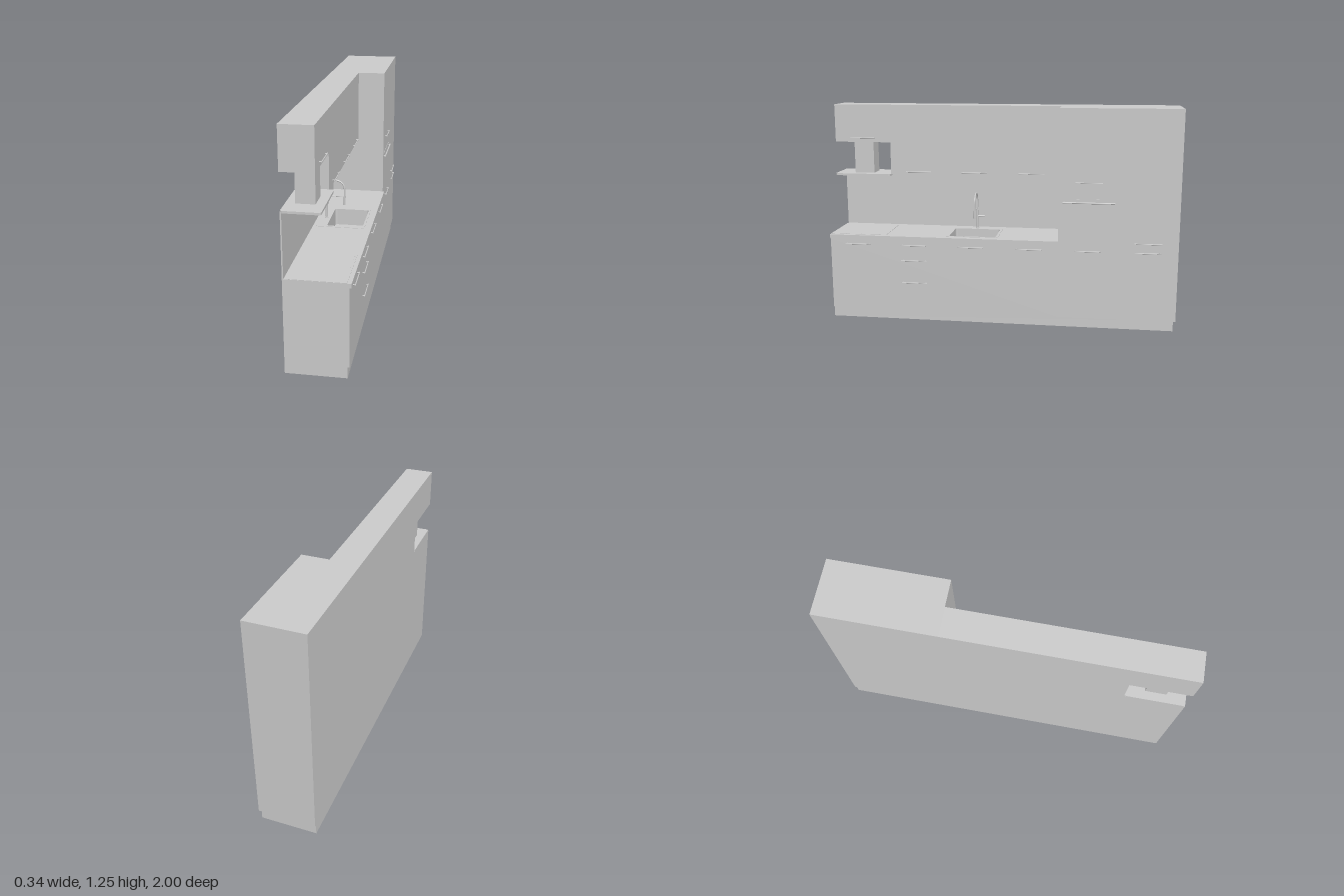
import * as THREE from 'three';

const material = new THREE.MeshStandardMaterial({ color: 0xcccccc });

function add(parent, name, geometry, x = 0, y = 0, z = 0) {
  const mesh = new THREE.Mesh(geometry, material);
  mesh.name = name;
  mesh.position.set(x, y, z);
  parent.add(mesh);
  return mesh;
}

// Box given by its limits on each axis
function block(parent, name, [x0, x1], [y0, y1], [z0, z1]) {
  return add(parent, name, new THREE.BoxGeometry(x1 - x0, y1 - y0, z1 - z0),
    (x0 + x1) / 2, (y0 + y1) / 2, (z0 + z1) / 2);
}

// Plan outline in x and z, with rounded corners when r > 0
function outline([x0, x1], [z0, z1], r = 0, Type = THREE.Shape) {
  const s = new Type(), a = -z1, b = -z0;
  if (r === 0) {
    s.moveTo(x0, a); s.lineTo(x1, a); s.lineTo(x1, b); s.lineTo(x0, b); s.closePath();
    return s;
  }
  s.moveTo(x0 + r, a);
  s.lineTo(x1 - r, a); s.absarc(x1 - r, a + r, r, -Math.PI / 2, 0);
  s.lineTo(x1, b - r); s.absarc(x1 - r, b - r, r, 0, Math.PI / 2);
  s.lineTo(x0 + r, b); s.absarc(x0 + r, b - r, r, Math.PI / 2, Math.PI);
  s.lineTo(x0, a + r); s.absarc(x0 + r, a + r, r, Math.PI, Math.PI * 1.5);
  return s;
}

// Horizontal slab from y0 to y1 with optional holes
function slab(parent, name, shape, y0, y1, holes = []) {
  shape.holes.push(...holes);
  const geometry = new THREE.ExtrudeGeometry(shape, { depth: y1 - y0, bevelEnabled: false, curveSegments: 6 });
  geometry.rotateX(-Math.PI / 2);
  return add(parent, name, geometry, 0, y0, 0);
}

// Bar handle on two posts, standing off a face at x
function handle(parent, x, y, z, length = 0.15, radius = 0.003) {
  const group = new THREE.Group();
  group.name = 'handle';
  group.position.set(x, y, z);
  const bar = new THREE.CylinderGeometry(radius, radius, length, 10).rotateX(Math.PI / 2);
  add(group, 'handleBar', bar, 0.0145 - radius, 0, 0);
  for (const side of [-1, 1]) {
    const post = new THREE.CylinderGeometry(radius, radius, 0.012, 8).rotateZ(Math.PI / 2);
    add(group, 'handlePost', post, 0.006, 0, side * (length / 2 - 0.008));
  }
  parent.add(group);
}

function tube(parent, name, points, radius) {
  const curve = new THREE.CatmullRomCurve3(points);
  return add(parent, name, new THREE.TubeGeometry(curve, 48, radius, 10));
}

function buildSink(parent, bowlX, bowlZ) {
  const sink = new THREE.Group();
  sink.name = 'sink';
  parent.add(sink);
  const inset = 0.004;
  const innerX = [bowlX[0] + inset, bowlX[1] - inset], innerZ = [bowlZ[0] + inset, bowlZ[1] - inset];
  const inner = () => outline(innerX, innerZ, 0.012, THREE.Path);
  slab(sink, 'sinkRim', outline([-0.145, 0.123], [0.015, 0.315], 0.012), 0.504, 0.507, [inner()]);
  slab(sink, 'sinkWalls', outline(bowlX, bowlZ), 0.41, 0.505, [inner()]);
  slab(sink, 'sinkFloor', outline(bowlX, bowlZ), 0.405, 0.41);
  add(sink, 'sinkDrain', new THREE.CylinderGeometry(0.016, 0.016, 0.003, 20), 0.01, 0.411, 0.165);
}

function buildFaucet(parent) {
  const faucet = new THREE.Group();
  faucet.name = 'faucet';
  faucet.position.set(-0.112, 0.505, 0.17);
  parent.add(faucet);
  const reach = 0.104, r = reach / 2;
  add(faucet, 'faucetBase', new THREE.CylinderGeometry(0.011, 0.011, 0.005, 16), 0, 0.0025, 0);
  add(faucet, 'faucetPost', new THREE.CylinderGeometry(0.007, 0.007, 0.132, 16), 0, 0.066, 0);
  // Arched neck
  const points = [new THREE.Vector3(0, 0.13, 0), new THREE.Vector3(0, 0.15, 0)];
  for (let i = 0; i <= 12; i++) {
    const a = Math.PI * (1 - i / 12);
    points.push(new THREE.Vector3(r + r * Math.cos(a), 0.173 + r * Math.sin(a), 0));
  }
  points.push(new THREE.Vector3(reach, 0.15, 0), new THREE.Vector3(reach, 0.12, 0));
  tube(faucet, 'faucetNeck', points, 0.0045);
  add(faucet, 'sprayHead', new THREE.CylinderGeometry(0.0065, 0.0055, 0.05, 14), reach, 0.107, 0);
  const arm = new THREE.CylinderGeometry(0.003, 0.003, reach, 8).rotateZ(Math.PI / 2);
  add(faucet, 'sprayHolder', arm, r, 0.13, 0);
  // Side lever
  const stem = new THREE.CylinderGeometry(0.006, 0.006, 0.045, 12).rotateX(Math.PI / 2);
  add(faucet, 'leverStem', stem, 0, 0.076, -0.022);
  add(faucet, 'lever', new THREE.CylinderGeometry(0.0025, 0.0025, 0.04, 8), 0, 0.094, -0.041);
}

function buildHood(parent) {
  const hood = new THREE.Group();
  hood.name = 'cookerHood';
  parent.add(hood);
  const opening = outline([-0.145, -0.005], [0.695, 0.975], 0.006, THREE.Path);
  slab(hood, 'hoodFrame', outline([-0.17, 0.022], [0.668, 1], 0.012), 0.834, 0.84, [opening]);
  slab(hood, 'hoodTop', outline([-0.17, 0.022], [0.668, 1], 0.012), 0.84, 0.846);
  block(hood, 'hoodFilter', [-0.13, -0.02], [0.836, 0.84], [0.715, 0.955]);
  block(hood, 'hoodChimney', [-0.122, -0.025], [0.846, 1.031], [0.777, 0.893]);
}

export function createModel() {
  const kitchen = new THREE.Group();
  kitchen.name = 'kitchenUnit';
  const back = -0.17, front = 0.152, wallFront = -0.003, split = -0.333;
  const bowlX = [-0.09, 0.116], bowlZ = [0.025, 0.303];
  const bowlHole = () => outline(bowlX, bowlZ, 0, THREE.Path);

  // Floor-standing cabinets
  block(kitchen, 'plinth', [back, 0.142], [0, 0.06], [-0.988, 1]);
  slab(kitchen, 'baseCabinets', outline([back, front], [split, 1]), 0.06, 0.481, [bowlHole()]);
  block(kitchen, 'tallCabinets', [back, front], [0.06, 1.25], [-1, split]);
  slab(kitchen, 'countertop', outline([back, 0.161], [split, 1]), 0.481, 0.505, [bowlHole()]);
  block(kitchen, 'backsplash', [back, -0.163], [0.505, 0.84], [split, 1]);

  // Wall cabinets, the end one shorter to make room for the hood
  block(kitchen, 'wallCabinets', [back, wallFront], [0.84, 1.25], [split, 0.668]);
  block(kitchen, 'hoodCabinet', [back, wallFront], [1.031, 1.25], [0.668, 1]);
  buildHood(kitchen);

  // Cooktop with a row of touch controls
  slab(kitchen, 'cooktop', outline([-0.145, 0.14], [0.668, 0.999], 0.01), 0.505, 0.507);
  for (let i = 0; i < 14; i++) {
    add(kitchen, 'cooktopControl', new THREE.CylinderGeometry(0.002, 0.002, 0.001, 8), 0.13, 0.5073, 0.69 + i * 0.022);
  }

  buildSink(kitchen, bowlX, bowlZ);
  buildFaucet(kitchen);

  // Handles: base row, drawers, tall doors, wall doors
  const columns = [0.833, 0.5, 0.167, -0.167, -0.5, -0.833];
  for (const z of columns) handle(kitchen, front, 0.453, z);
  for (const y of [0.362, 0.229]) handle(kitchen, front, y, 0.5);
  handle(kitchen, front, 0.506, -0.833);
  handle(kitchen, front, 0.841, -0.5);
  for (const z of columns.slice(1, 4)) handle(kitchen, wallFront, 0.861, z);
  handle(kitchen, wallFront, 1.057, 0.833);

  // Built-in oven: long handle and trim strip
  handle(kitchen, front, 0.729, -0.5, 0.29, 0.0045);
  block(kitchen, 'ovenTrim', [front - 0.004, front + 0.002], [0.743, 0.749], [-0.636, -0.364]);
  return kitchen;
}
